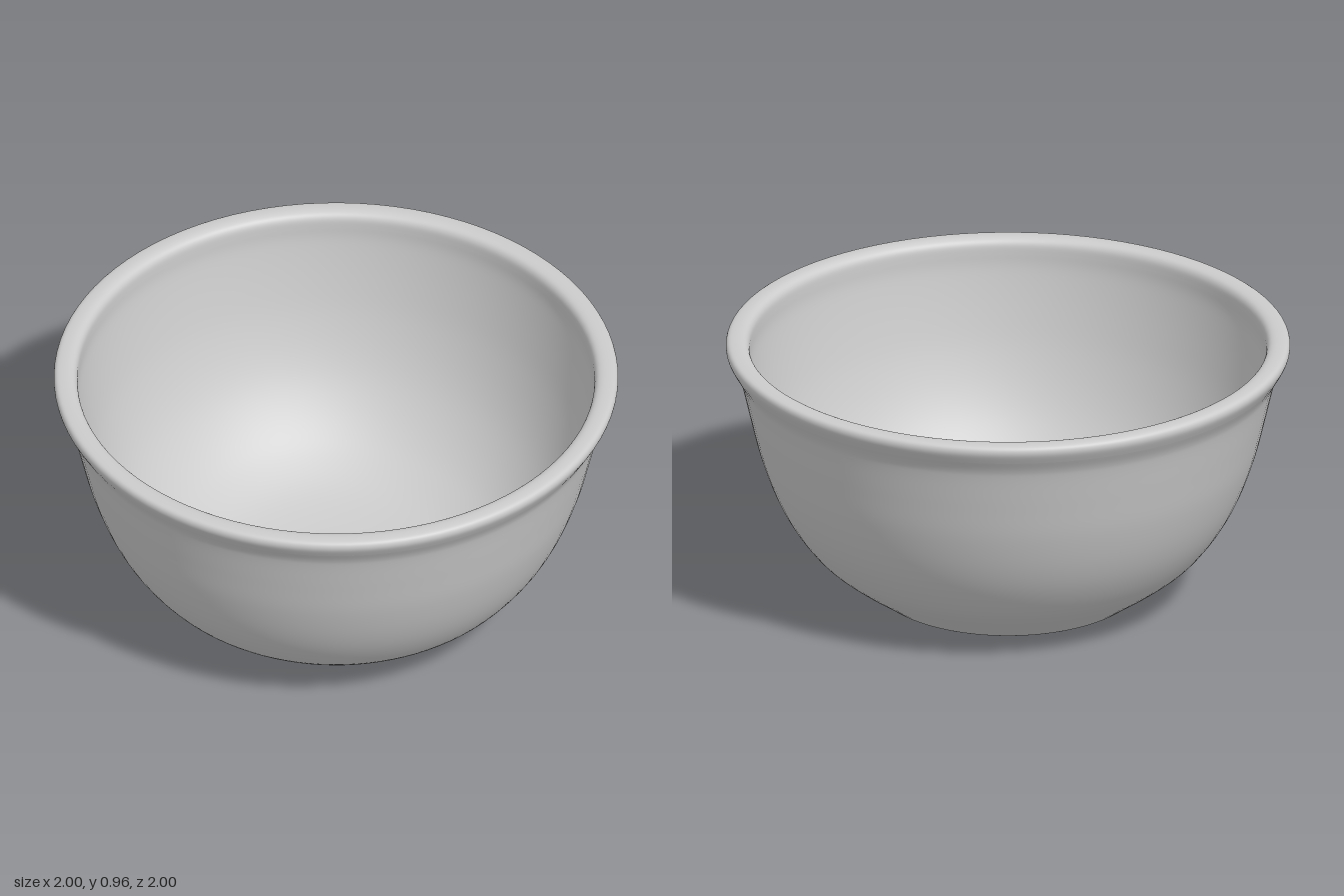
import * as THREE from 'three';

const SEGMENTS = 96;

// Smooth curve through [radius, height] pairs
function smooth(pairs, divisions) {
  const points = pairs.map(([r, y]) => new THREE.Vector2(r, y));
  return new THREE.SplineCurve(points).getPoints(divisions);
}

function turned(name, points, material) {
  points.forEach((p) => { p.x = Math.max(p.x, 0); });
  const mesh = new THREE.Mesh(new THREE.LatheGeometry(points, SEGMENTS), material);
  mesh.name = name;
  return mesh;
}

export function createModel() {
  const material = new THREE.MeshStandardMaterial({ color: 0xcccccc });
  const bowl = new THREE.Group();
  bowl.name = 'bowl';

  // Nearly flat underside, dipping slightly at the centre
  const base = [[0, 0], [0.25, 0.006], [0.44, 0.01]].map(([r, y]) => new THREE.Vector2(r, y));
  bowl.add(turned('base', base, material));

  // Outer wall: rounded foot, swelling side, flare below the rim
  bowl.add(turned('outerWall', smooth([
    [0.44, 0.01], [0.46, 0.015], [0.49, 0.035], [0.6, 0.113], [0.69, 0.19],
    [0.77, 0.295], [0.83, 0.41], [0.88, 0.55], [0.915, 0.69], [0.943, 0.81],
    [0.957, 0.853], [0.98, 0.893],
  ], 60), material));

  // Rolled rim with a rounded outer edge and an overhanging inner edge
  bowl.add(turned('rim', smooth([
    [0.98, 0.893], [0.997, 0.925], [0.999, 0.945], [0.99, 0.958], [0.97, 0.962],
    [0.945, 0.961], [0.927, 0.953], [0.917, 0.935], [0.915, 0.905],
  ], 32), material));

  // Inner wall and softly dished floor
  bowl.add(turned('innerWall', smooth([
    [0.915, 0.905], [0.911, 0.84], [0.885, 0.7], [0.85, 0.56], [0.8, 0.425],
    [0.74, 0.315], [0.66, 0.215], [0.57, 0.14], [0.45, 0.08], [0.3, 0.05],
    [0.15, 0.042], [0, 0.04],
  ], 60), material));

  return bowl;
}
